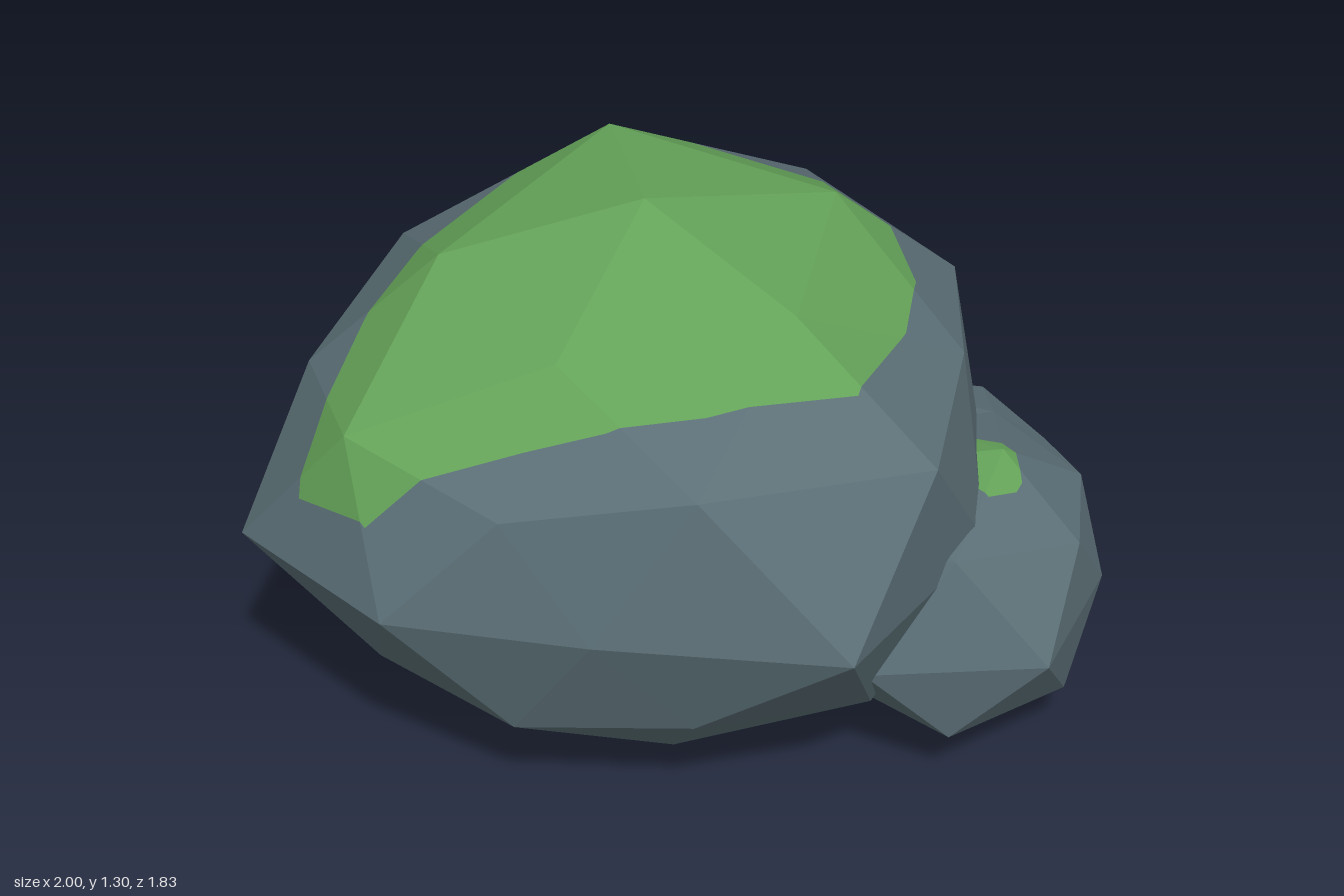
import * as THREE from 'three';

const stone = new THREE.MeshStandardMaterial({ color: 0x5b6f76 });
stone.name = 'slate stone';
const moss = new THREE.MeshStandardMaterial({ color: 0x64a258 });
moss.name = 'green moss';

// Rings of a once-divided icosahedron: [height, first angle, angle step]
const RINGS = [
  [1, 0, 360], [0.851, 0, 72], [0.526, 36, 72], [0.447, 0, 72], [0, 18, 36],
  [-0.447, 36, 72], [-0.526, 0, 72], [-0.851, 36, 72], [-1, 0, 360],
];
const DEG = Math.PI / 180;

// Triangles of the unit icosahedron, each edge halved and pushed out to the sphere
function sphereTriangles() {
  const ring = (y, start) => Array.from({ length: 5 }, (_, i) => {
    const a = (start + 72 * i) * DEG;
    return new THREE.Vector3(0.8944 * Math.cos(a), y, 0.8944 * Math.sin(a));
  });
  const up = ring(0.4472, 0), low = ring(-0.4472, 36);
  const top = new THREE.Vector3(0, 1, 0), bottom = new THREE.Vector3(0, -1, 0);
  const out = [];
  const mid = (a, b) => a.clone().add(b).normalize();
  const split = (a, b, c) => {
    const ab = mid(a, b), bc = mid(b, c), ca = mid(c, a);
    out.push([a, ab, ca], [ab, b, bc], [ca, bc, c], [ab, bc, ca]);
  };
  for (let i = 0; i < 5; i++) {
    const j = (i + 1) % 5;
    split(top, up[j], up[i]);
    split(up[i], up[j], low[i]);
    split(low[i], up[j], low[j]);
    split(bottom, low[i], low[j]);
  }
  return out;
}

// Push a unit-sphere point in or out by the factor of its ring and angle
function displace(p, { radii, scale, yaw, center }) {
  const level = RINGS.findIndex(r => Math.abs(r[0] - p.y) < 0.02);
  const [, start, step] = RINGS[level];
  const list = radii[level];
  const angle = Math.atan2(p.z, p.x) / DEG;
  const n = list.length;
  const k = n === 1 ? 0 : ((Math.round((angle - start) / step) % n) + n) % n;
  return p.clone().multiplyScalar(list[k])
    .applyAxisAngle(new THREE.Vector3(0, 1, 0), -yaw * DEG)
    .multiply(new THREE.Vector3(...scale))
    .add(new THREE.Vector3(...center));
}

// Split a polygon by the vertical plane through a and b
function cut(poly, a, b) {
  const side = p => (b[0] - a[0]) * (p.z - a[1]) - (b[1] - a[1]) * (p.x - a[0]);
  const inside = [], outside = [];
  poly.forEach((p, i) => {
    const q = poly[(i + 1) % poly.length];
    const sp = side(p), sq = side(q);
    (sp >= 0 ? inside : outside).push(p);
    if ((sp >= 0) !== (sq >= 0)) {
      const m = p.clone().lerp(q, sp / (sp - sq));
      inside.push(m);
      outside.push(m);
    }
  });
  return [inside, outside];
}

// Flat-faced mesh from convex polygons
function facetMesh(polys, material, name) {
  const points = [];
  for (const poly of polys)
    for (let i = 1; i + 1 < poly.length; i++) points.push(poly[0], poly[i], poly[i + 1]);
  const geometry = new THREE.BufferGeometry().setFromPoints(points);
  geometry.computeVertexNormals();
  const mesh = new THREE.Mesh(geometry, material);
  mesh.name = name;
  return mesh;
}

// Faceted boulder whose upper faces are moss inside a convex outline seen from above
function makeBoulder(name, spec) {
  const stonePolys = [], mossPolys = [];
  for (const tri of sphereTriangles()) {
    let poly = tri.map(p => displace(p, spec));
    if (tri[0].y + tri[1].y + tri[2].y < 0.1) {
      stonePolys.push(poly);
      continue;
    }
    spec.mossOutline.forEach((a, i, all) => {
      if (poly.length < 3) return;
      const [inside, outside] = cut(poly, a, all[(i + 1) % all.length]);
      if (outside.length > 2) stonePolys.push(outside);
      poly = inside;
    });
    if (poly.length > 2) mossPolys.push(poly);
  }
  const group = new THREE.Group();
  group.name = name;
  group.add(facetMesh(stonePolys, stone, name + 'Stone'), facetMesh(mossPolys, moss, name + 'Moss'));
  return group;
}

export function createModel() {
  const model = new THREE.Group();
  model.name = 'mossyRocks';

  // Main boulder
  model.add(makeBoulder('largeBoulder', {
    center: [-0.07, 0.56, 0], scale: [1, 0.74, 0.87], yaw: 0,
    radii: [
      [1.005],
      [0.99, 0.94, 0.84, 0.94, 1.09],
      [0.91, 0.9, 0.91, 1.02, 1.08],
      [0.98, 1.05, 0.81, 0.92, 1.13],
      [0.85, 0.91, 1.04, 0.785, 0.86, 0.978, 0.9, 1.055, 1.04, 0.98],
      [0.86, 0.82, 0.8, 0.95, 0.98],
      [0.9, 0.9, 0.8, 0.9, 1],
      [0.85, 0.82, 0.84, 0.87, 0.87],
      [0.757],
    ],
    mossOutline: [
      [-0.92, -0.1], [-0.63, -0.33], [-0.43, -0.45], [-0.1, -0.58], [0.17, -0.64],
      [0.34, -0.47], [0.55, -0.19], [0.61, 0], [0.55, 0.2], [0.4, 0.38],
      [0.13, 0.59], [-0.2, 0.49], [-0.4, 0.4], [-0.86, 0.12],
    ],
  }));

  // Small rock leaning against its front left side
  model.add(makeBoulder('smallBoulder', {
    center: [0.55, 0.365, 0.22], scale: [0.55, 0.385, 0.55], yaw: 7,
    radii: [
      [0.68],
      [0.75, 1, 0.9, 0.75, 0.72],
      [0.87, 1.24, 0.9, 0.85, 0.83],
      [0.75, 1.1, 1, 0.9, 0.85],
      [0.78, 0.93, 1.26, 1.24, 1, 0.9, 0.9, 1, 0.88, 0.835],
      [0.84, 1.25, 0.95, 0.9, 0.79],
      [0.73, 1.13, 0.95, 0.85, 0.9],
      [0.86, 1.02, 0.9, 0.88, 0.82],
      [0.9],
    ],
    mossOutline: [[0.45, 0.45], [0.6, 0.4], [0.645, 0.5], [0.6, 0.59], [0.57, 0.61], [0.49, 0.61]],
  }));

  return model;
}
